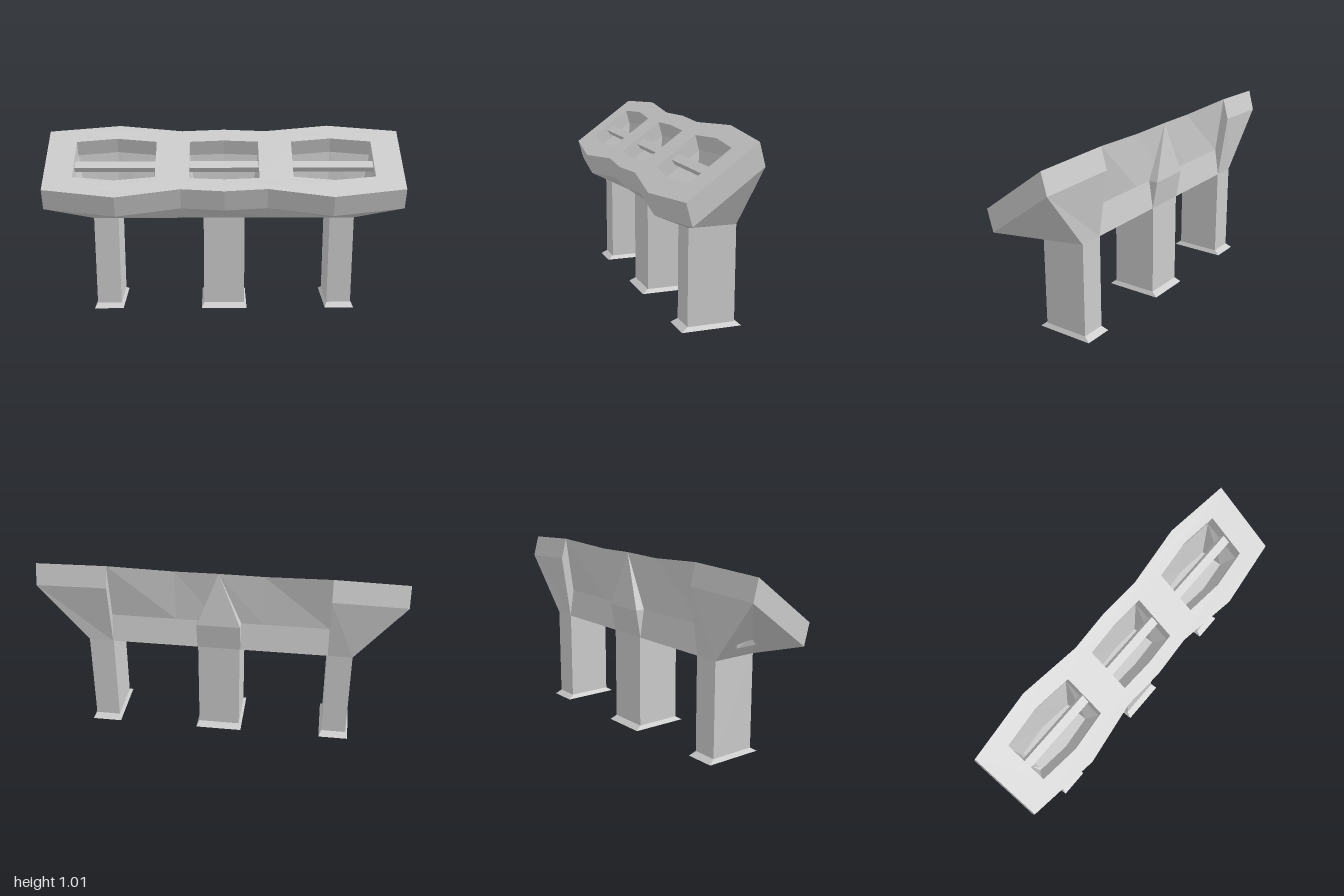
import * as THREE from 'three';

const material = new THREE.MeshStandardMaterial({ color: 0xcccccc, flatShading: true, side: THREE.DoubleSide });

const SLOPE = 0.724;
const deckY = z => 0.865 - SLOPE * z;          // sloping top plane
const BASE_Y = 0.535, BASE_FRONT = 0.073, BASE_BACK = -0.183, BASE_X = 0.735;

// Rim outline: x, front z, back z
const stations = [[-1, 0.19, -0.167], [-0.6, 0.234, -0.203], [-0.24, 0.187, -0.168], [0, 0.2, -0.178],
  [0.24, 0.187, -0.168], [0.6, 0.234, -0.203], [1, 0.19, -0.167]];

const onDeck = (x, z) => [x, deckY(z), z];
const drop = ([x, y, z], k = 1) => [x, y - 0.117 * k, z - 0.032 * k]; // square to the deck
const mirrorX = rows => rows.map(r => r.map(([x, y, z]) => [-x, y, z]).reverse());

// Quads between polylines; rows run top to bottom, points left to right as seen from outside
function patch(rows) {
  const pos = [];
  for (let i = 0; i < rows.length - 1; i++) {
    for (let j = 0; j < rows[i].length - 1; j++) {
      const a = rows[i][j], b = rows[i][j + 1], c = rows[i + 1][j], d = rows[i + 1][j + 1];
      pos.push(...a, ...c, ...d, ...a, ...d, ...b);
    }
  }
  const g = new THREE.BufferGeometry();
  g.setAttribute('position', new THREE.Float32BufferAttribute(pos, 3));
  g.computeVertexNormals();
  return g;
}

export function createModel() {
  const model = new THREE.Group();
  model.name = 'console';
  const add = (name, geometry, parent = model) => {
    const mesh = new THREE.Mesh(geometry, material);
    mesh.name = name;
    parent.add(mesh);
    return mesh;
  };
  const addPair = (name, rows) => {
    add(name + 'Left', patch(rows));
    add(name + 'Right', patch(mirrorX(rows)));
  };

  // Openings: centre x, half width, back z, front z, bow of the long edges, floor half width
  const openings = [
    { x: -0.612, h: 0.228, zb: -0.1, zf: 0.115, bow: 0.02 },
    { x: 0, h: 0.195, zb: -0.1, zf: 0.122, bow: 0.008 },
    { x: 0.612, h: 0.228, zb: -0.1, zf: 0.115, bow: 0.02 },
  ];
  const ring = (x, h, zb, zf, bow) => [[x - h, zb], [x, zb - bow], [x + h, zb],
    [x + h, zf], [x, zf + bow], [x - h, zf], [x - h, zb]];

  // Sloping deck with three openings
  const outline = [...stations.map(s => [s[0], s[1]]), ...stations.map(s => [s[0], s[2]]).reverse()];
  const toV2 = ([x, z]) => new THREE.Vector2(x, -z);
  const shape = new THREE.Shape(outline.map(toV2));
  for (const o of openings) {
    shape.holes.push(new THREE.Path(ring(o.x, o.h, o.zb, o.zf, o.bow).slice(0, -1).map(toV2)));
  }
  const deck = new THREE.ShapeGeometry(shape);
  const p = deck.attributes.position;
  for (let i = 0; i < p.count; i++) p.setXYZ(i, ...onDeck(p.getX(i), -p.getY(i)));
  deck.computeVertexNormals();
  add('deck', deck);

  // Front rim and the underside tapering to the base
  const frontTop = stations.map(s => onDeck(s[0], s[1]));
  const baseX = x => Math.max(-BASE_X, Math.min(BASE_X, x));
  const frontLow = frontTop.map(v => drop(v));
  add('frontRim', patch([frontTop, frontLow]));
  add('frontUnderside', patch([frontLow, frontLow.map(v => [baseX(v[0]), BASE_Y, BASE_FRONT])]));
  add('underside', patch([
    [[-BASE_X, BASE_Y, BASE_FRONT], [BASE_X, BASE_Y, BASE_FRONT]],
    [[-BASE_X, BASE_Y, BASE_BACK], [BASE_X, BASE_Y, BASE_BACK]]]));

  // End faces
  const endTop = [onDeck(1, 0.19), onDeck(1, -0.167)];
  addPair('end', [endTop, endTop.map(v => drop(v)),
    [[BASE_X, BASE_Y, BASE_FRONT], [BASE_X, BASE_Y, BASE_BACK]]]);

  // Raised outer back panels
  const outerTop = [onDeck(1, -0.167), onDeck(0.6, -0.203)];
  addPair('outerBack', [outerTop, outerTop.map(v => drop(v)),
    [[BASE_X, BASE_Y, BASE_BACK], [0.6, BASE_Y, BASE_BACK]]]);

  // Recessed inner back panel, and the steps beside it
  const CREASE_Y = 0.69, CREASE_Z = -0.158;
  const backTop = stations.slice(1, 6).reverse().map(s => onDeck(s[0], s[2]));
  add('innerBack', patch([backTop,
    backTop.map(v => [v[0], CREASE_Y, CREASE_Z]),
    backTop.map(v => [v[0], BASE_Y, BASE_BACK])]));
  addPair('backStep', [
    [drop(outerTop[1]), outerTop[1]],
    [[0.6, BASE_Y, BASE_BACK], [0.6, CREASE_Y, CREASE_Z]]]);

  // Wedge rib at the middle of the back
  const apex = onDeck(0, -0.178), ribY = 0.69, ribZ = -0.21;
  add('backRib', patch([[apex, apex],
    [[0.12, ribY, ribZ], [-0.12, ribY, ribZ]],
    [[0.12, BASE_Y, BASE_BACK], [-0.12, BASE_Y, BASE_BACK]]]));
  addPair('backRibSide', [
    [apex, apex],
    [[0.12, CREASE_Y, CREASE_Z], [0.12, ribY, ribZ]],
    [[0.12, BASE_Y, BASE_BACK], [0.12, BASE_Y, BASE_BACK]]]);

  // Basins below the openings, each with a tilted crossbar
  for (const o of openings) {
    const basin = new THREE.Group();
    basin.name = 'basin';
    model.add(basin);
    const rim = ring(o.x, o.h, o.zb, o.zf, o.bow).map(([x, z]) => onDeck(x, z));
    const floor = ring(o.x, o.h * 0.82, -0.1, 0.03, o.bow).map(([x, z]) => [x, 0.6, z]);
    add('basinWall', patch([rim, rim.map(v => drop(v, 0.7)), floor]), basin);
    add('basinFloor', patch([floor.slice(0, 3), floor.slice(3, 6).reverse()]), basin);
    const bar = add('crossbar', new THREE.BoxGeometry(o.h * 2 + 0.008, 0.035, 0.05), basin);
    bar.position.set(o.x, 0.815, 0.002);
    bar.rotation.x = Math.atan(SLOPE);
  }

  // Legs with flared feet
  const midZ = (BASE_FRONT + BASE_BACK) / 2, depth = BASE_FRONT - BASE_BACK;
  for (const [x, w] of [[-0.666, 0.138], [0, 0.232], [0.666, 0.138]]) {
    const leg = new THREE.Group();
    leg.name = 'leg';
    leg.position.set(x, 0, midZ);
    model.add(leg);
    add('post', new THREE.BoxGeometry(w, BASE_Y, depth), leg).position.y = BASE_Y / 2;
    const foot = new THREE.BoxGeometry(w, 0.022, depth);
    const f = foot.attributes.position;
    for (let i = 0; i < f.count; i++) {
      if (f.getY(i) < 0) {
        f.setX(i, f.getX(i) + Math.sign(f.getX(i)) * 0.014);
        f.setZ(i, f.getZ(i) + Math.sign(f.getZ(i)) * 0.034);
      }
    }
    foot.computeVertexNormals();
    add('foot', foot, leg).position.y = 0.011;
  }
  return model;
}
